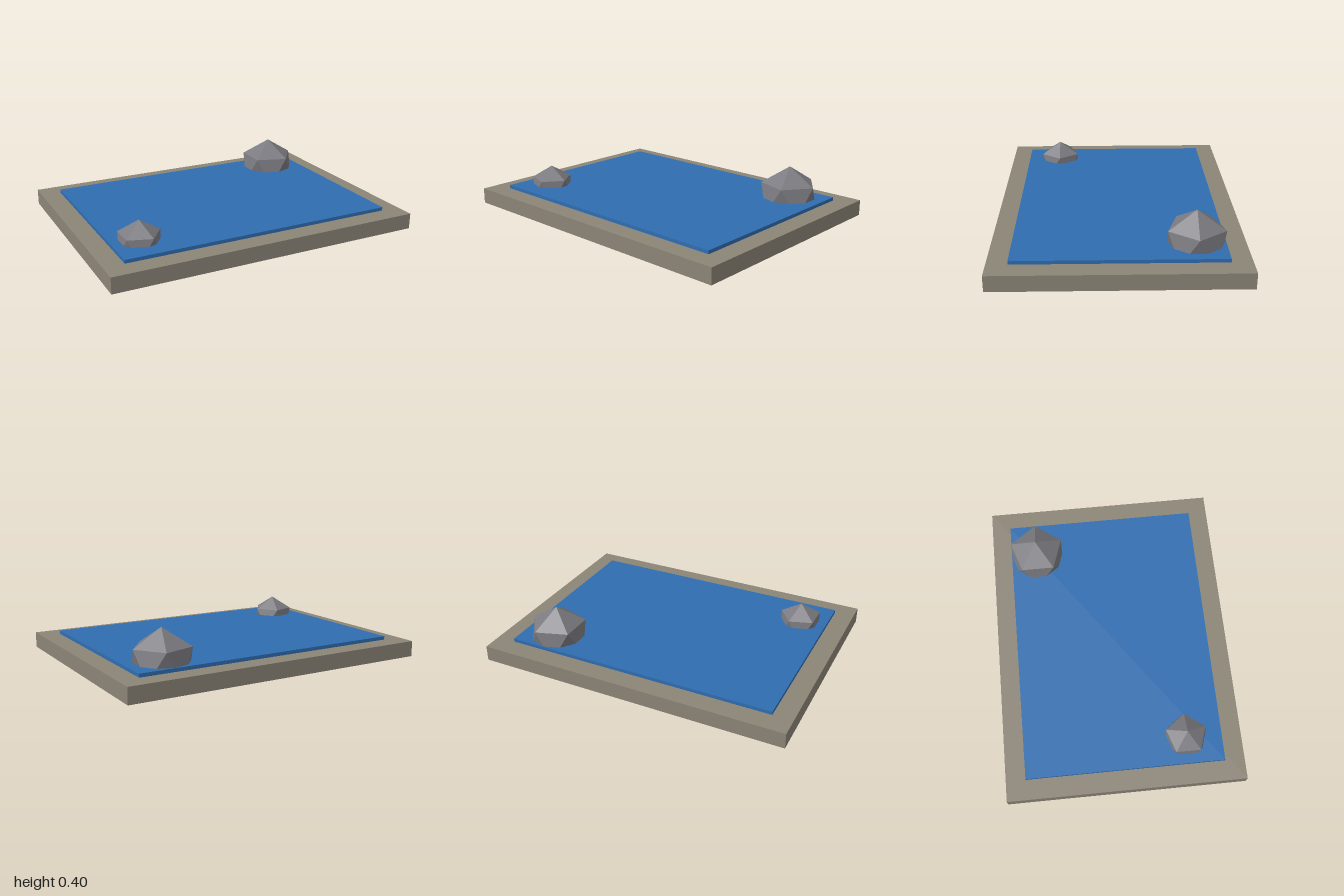
import * as THREE from 'three';

export function createModel() {
  const group = new THREE.Group();
  group.name = 'pond';

  const material = (name, color) => {
    const m = new THREE.MeshStandardMaterial({ color });
    m.name = name;
    return m;
  };
  const stone = material('stone', 0x8c8577);
  const water = material('water', 0x2f6db0);
  const rock = material('rock', 0x7a7a80);
  rock.flatShading = true;

  const add = (name, geometry, mat, x, y, z) => {
    const mesh = new THREE.Mesh(geometry, mat);
    mesh.name = name;
    mesh.position.set(x, y, z);
    group.add(mesh);
  };

  // Stone base slab and the raised sheet of water
  add('baseSlab', new THREE.BoxGeometry(2, 0.1, 1.5), stone, 0, 0.128, 0);
  add('waterSurface', new THREE.BoxGeometry(1.75, 0.022, 1.25), water, 0, 0.189, 0);

  // Rocks: icosahedra tipped so that one corner points straight up
  const tip = -Math.atan(2 / (1 + Math.sqrt(5)));
  const makeRock = (radius) => new THREE.IcosahedronGeometry(radius, 0).rotateZ(tip);
  add('largeRock', makeRock(0.2), rock, 0.65, 0.2, -0.45);
  add('smallRock', makeRock(0.147), rock, -0.7, 0.177, 0.4);

  return group;
}
